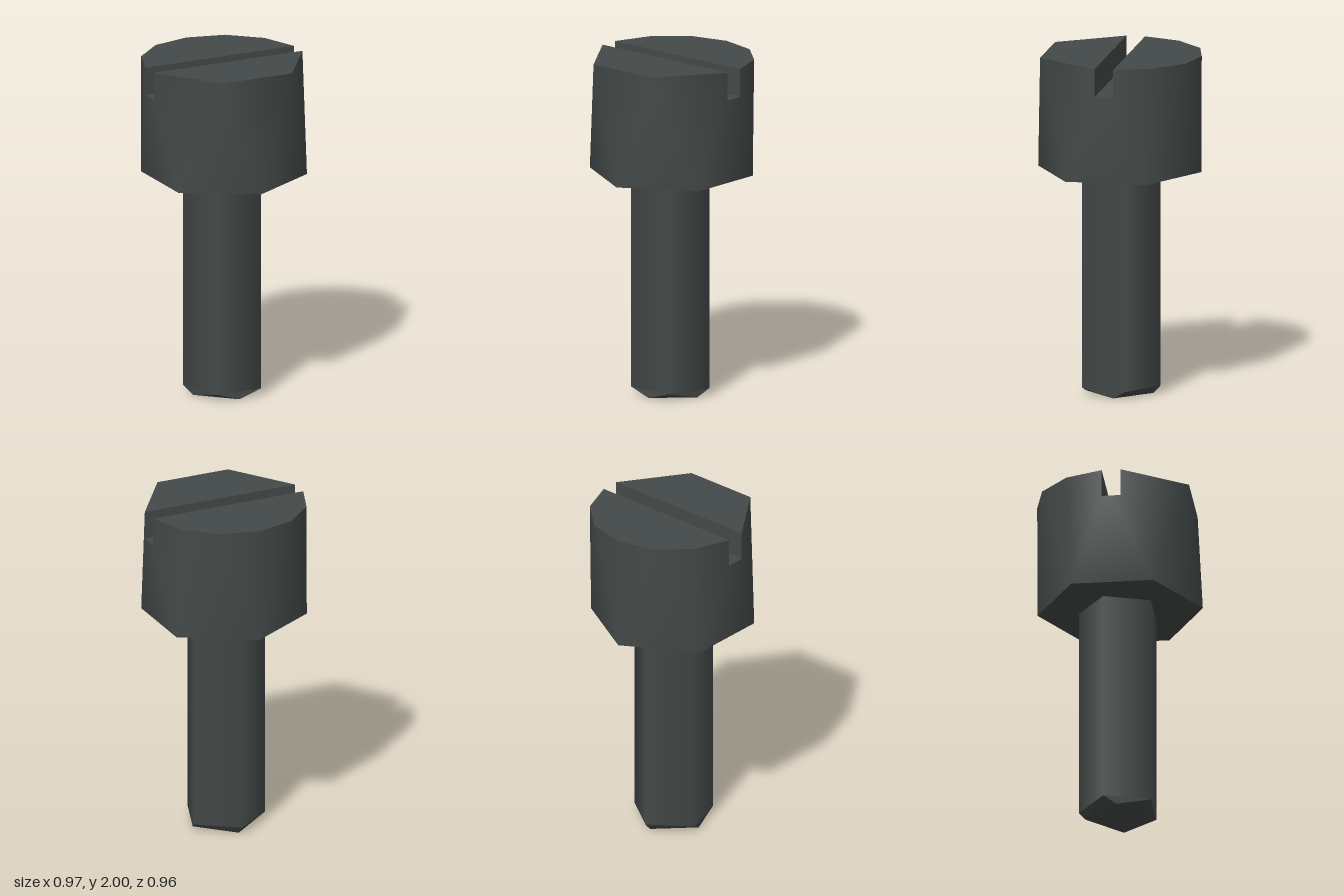
import * as THREE from 'three';

const V = (x, y, z) => new THREE.Vector3(x, y, z);

// Every ring starts at the back (-z) and runs through +x, front and -x.
const ring = (sides, radius, y) => Array.from({ length: sides }, (_, i) => {
  const a = (i / sides) * Math.PI * 2;
  return V(radius * Math.sin(a), y, -radius * Math.cos(a));
});

// Triangles of a flat convex polygon
function fan(points) {
  const out = [];
  for (let i = 1; i < points.length - 1; i++) out.push(points[0], points[i], points[i + 1]);
  return out;
}

// Joins two rings with different numbers of corners, taking edges in angular order
function stitch(lower, upper) {
  const edges = [];
  [lower, upper].forEach((r, level) => r.forEach((p, i) => {
    const q = r[(i + 1) % r.length];
    const angle = Math.atan2(p.x + q.x, -(p.z + q.z));
    edges.push({ p, q, level, angle: angle < 0 ? angle + Math.PI * 2 : angle });
  }));
  edges.sort((a, b) => a.angle - b.angle);
  const out = [];
  const current = [lower[0], upper[0]];
  for (const { p, q, level } of edges) {
    if (level === 0) out.push(q, p, current[1]);
    else out.push(p, q, current[0]);
    current[level] = q;
  }
  return out;
}

export function createModel() {
  const group = new THREE.Group();
  const material = new THREE.MeshStandardMaterial({ color: 0x444a49 });

  function add(name, triangles, round = false) {
    const geometry = new THREE.BufferGeometry().setFromPoints(triangles);
    geometry.computeVertexNormals();
    if (round) { // radial normals shade the few sides as a cylinder
      const normal = geometry.attributes.normal;
      triangles.forEach((p, i) => {
        const r = Math.hypot(p.x, p.z);
        normal.setXYZ(i, p.x / r, 0, p.z / r);
      });
    }
    const mesh = new THREE.Mesh(geometry, material);
    mesh.name = name;
    group.add(mesh);
  }

  const top = 2, slotY = 1.835, headY = 1.315, chamferY = 0.045;
  const slotX = 0.48, slotZ = 0.055;

  // Head rim: right half from back to front, then mirrored
  const rightRim = [
    V(0.225, top, -0.43), V(0.4, top, -0.27), V(slotX, top, -slotZ),
    V(slotX, slotY, -slotZ), V(0.483, slotY, 0), V(slotX, slotY, slotZ),
    V(slotX, top, slotZ), V(0.225, top, 0.425),
  ];
  const leftRim = rightRim.map(p => V(-p.x, p.y, p.z)).reverse();
  const back = V(0, top, -0.483);
  const rim = [back, ...rightRim, ...leftRim];
  const headBase = ring(6, 0.48, headY);
  add('headSide', stitch(headBase, rim), true);
  add('headUnderside', fan(headBase));

  // Two top faces beside the slot
  const topBack = [back, ...rightRim.slice(0, 3), ...leftRim.slice(-3)];
  const topFront = [...rightRim.slice(6), ...leftRim.slice(0, 2)];
  add('headTop', [...fan(topBack.reverse()), ...fan(topFront.reverse())]);

  // Slot floor and its two walls
  const floor = [...rightRim.slice(3, 6), ...leftRim.slice(2, 5)].reverse();
  const wall = z => [V(-slotX, slotY, z), V(slotX, slotY, z), V(slotX, top, z), V(-slotX, top, z)];
  add('slot', [...fan(floor), ...fan(wall(-slotZ)), ...fan(wall(slotZ).reverse())]);

  // Five-sided shaft with a chamfer narrowing to a four-sided tip
  const shaftBase = ring(5, 0.24, chamferY);
  const tip = ring(4, 0.2, 0);
  add('shaft', stitch(shaftBase, ring(5, 0.24, headY)), true);
  add('chamfer', stitch(tip, shaftBase));
  add('tip', fan(tip));

  return group;
}
